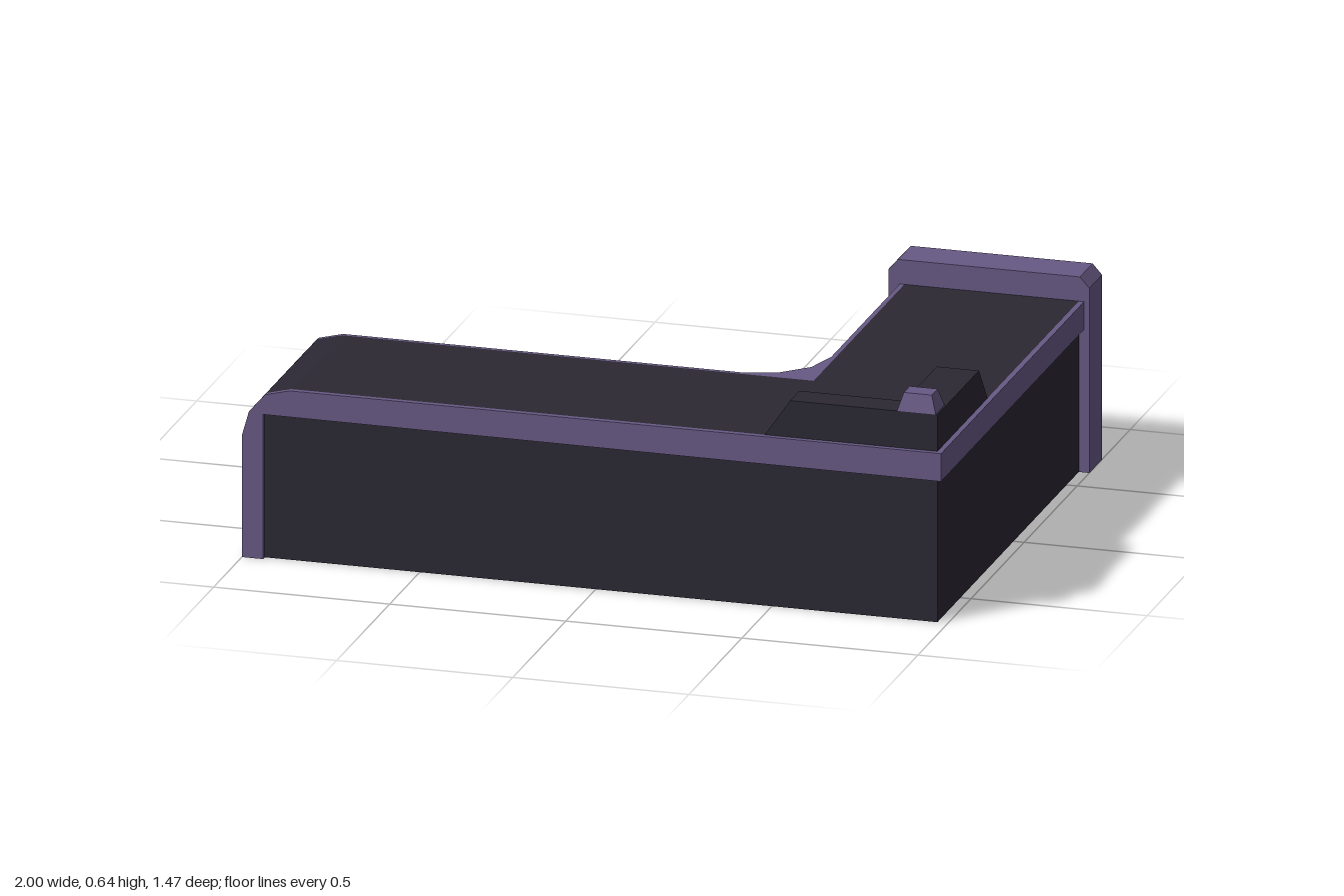
import * as THREE from 'three';

const dark = new THREE.MeshStandardMaterial({ color: 0x2b2833 });
const trim = new THREE.MeshStandardMaterial({ color: 0x685a85 });

export function createModel() {
  const desk = new THREE.Group();
  desk.name = 'cornerDesk';

  const add = (name, geometry, material) => {
    const mesh = new THREE.Mesh(geometry, material);
    mesh.name = name;
    desk.add(mesh);
  };
  const extrude = (points, depth) => new THREE.ExtrudeGeometry(
    new THREE.Shape(points.map(([x, y]) => new THREE.Vector2(x, y))),
    { depth, bevelEnabled: false });
  // front outline (x, y), extruded from z0 to z1
  const front = (points, z0, z1) => extrude(points, z1 - z0).translate(0, 0, z0);
  // floor plan (x, z), extruded from y0 to y1
  const plan = (points, y0, y1) => extrude(points, y1 - y0).rotateX(Math.PI / 2).translate(0, y1, 0);
  // side outline (z, y), extruded from x0 to x1
  const side = (points, x0, x1) => extrude(points.map(([z, y]) => [-z, y]), x1 - x0)
    .rotateY(Math.PI / 2).translate(x0, 0, 0);
  const box = (x0, x1, y0, y1, z0, z1) => new THREE.BoxGeometry(x1 - x0, y1 - y0, z1 - z0)
    .translate((x0 + x1) / 2, (y0 + y1) / 2, (z0 + z1) / 2);

  // main top, bending down into the left leg
  const waterfall = (xEnd) => [
    [-1, 0], [-0.94, 0], [-0.94, 0.415], [xEnd, 0.41], [xEnd, 0.49],
    [-0.865, 0.49], [-0.935, 0.472], [-0.98, 0.42], [-1, 0.35],
  ];
  add('mainTop', front(waterfall(0.97), 0.24, 0.717), dark);
  add('frontTrim', front(waterfall(0.985), 0.717, 0.733), trim);
  add('backTrim', front(waterfall(0.26), 0.228, 0.24), trim);

  // side wing top and its edge trims
  add('wingTop', box(0.475, 0.97, 0.41, 0.49, -0.62, 0.24), dark);
  add('outerTrim', box(0.97, 0.985, 0.41, 0.49, -0.62, 0.717), trim);
  add('innerTrim', box(0.462, 0.475, 0.41, 0.49, -0.62, 0.03), trim);

  // rounded filler in the inside corner
  add('cornerTrim', plan([
    [0.26, 0.24], [0.26, 0.23], [0.36, 0.203], [0.435, 0.13],
    [0.462, 0.03], [0.475, 0.03], [0.475, 0.24],
  ], 0.41, 0.49), trim);

  // L-shaped panel under the tops, thinning towards both ends
  add('basePanel', plan([
    [-0.94, 0.717], [0.97, 0.717], [0.97, -0.617],
    [0.86, -0.617], [0.74, 0.49], [-0.94, 0.6],
  ], 0, 0.412), dark);

  // upright at the end of the wing
  add('endPanel', front([
    [0.43, 0], [1, 0], [1, 0.53], [0.973, 0.56], [0.457, 0.56], [0.43, 0.53],
  ], -0.735, -0.615), trim);

  // raised ledges meeting at the outer corner
  add('frontLedge', front([[0.48, 0.485], [0.97, 0.485], [0.97, 0.595], [0.552, 0.595], [0.48, 0.49]], 0.63, 0.717), dark);
  add('sideLedge', side([[0.245, 0.49], [0.325, 0.595], [0.63, 0.595], [0.63, 0.485], [0.245, 0.485]], 0.85, 0.97), dark);

  // tapered corner cap
  const cap = box(-0.055, 0.055, 0, 0.05, -0.042, 0.042);
  const p = cap.attributes.position;
  for (let i = 0; i < p.count; i++) {
    if (p.getY(i) > 0.02) p.setXYZ(i, p.getX(i) * 0.72, p.getY(i), p.getZ(i) * 0.66);
  }
  cap.computeVertexNormals();
  add('cornerCap', cap.translate(0.91, 0.595, 0.675), trim);

  return desk;
}
